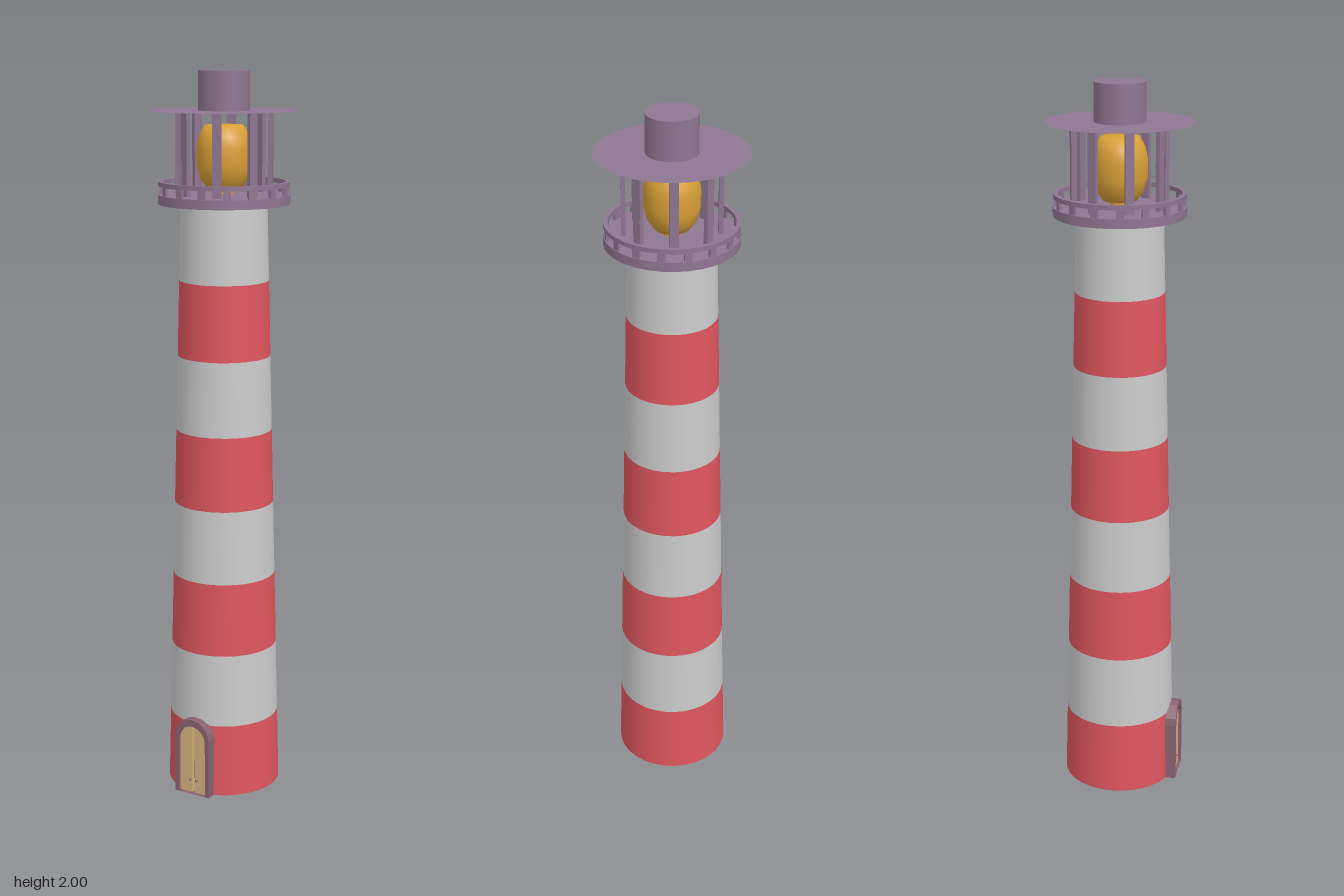
import * as THREE from 'three';

const mat = (color, extra = {}) => new THREE.MeshStandardMaterial({ color, ...extra });
const RED = mat(0xe0565f, { side: THREE.DoubleSide });
const GREY = mat(0xcccccc, { side: THREE.DoubleSide });
const PURPLE = mat(0x8f7691, { side: THREE.DoubleSide });
const GOLD = mat(0xd9a036, { side: THREE.DoubleSide });
const FRAME = mat(0x8a6272);
const WOOD = mat(0xd6b27f);

function add(parent, name, geometry, material, x = 0, y = 0, z = 0) {
  const mesh = new THREE.Mesh(geometry, material);
  mesh.name = name;
  mesh.position.set(x, y, z);
  parent.add(mesh);
  return mesh;
}

// Upright boxes evenly spaced on a circle, each facing outwards
function ringOfPosts(parent, name, count, radius, y0, y1, width, depth) {
  const group = new THREE.Group();
  group.name = name + 's';
  const geometry = new THREE.BoxGeometry(width, y1 - y0, depth);
  for (let i = 0; i < count; i++) {
    const a = ((i + 0.5) / count) * Math.PI * 2;
    const post = add(group, name, geometry, PURPLE, Math.sin(a) * radius, (y0 + y1) / 2, Math.cos(a) * radius);
    post.rotation.y = a;
  }
  parent.add(group);
}

// Arched outline standing on y = 0
function archPoints(halfWidth, height) {
  const spring = height - halfWidth;
  const points = [new THREE.Vector2(-halfWidth, 0), new THREE.Vector2(halfWidth, 0)];
  for (let i = 0; i <= 8; i++) {
    const a = (i / 8) * Math.PI;
    points.push(new THREE.Vector2(Math.cos(a) * halfWidth, spring + Math.sin(a) * halfWidth));
  }
  return points;
}

function createDoor() {
  const door = new THREE.Group();
  door.name = 'door';

  // Arched surround
  const surround = new THREE.Shape(archPoints(0.055, 0.225));
  surround.holes.push(new THREE.Path(archPoints(0.043, 0.205)));
  add(door, 'doorFrame', new THREE.ExtrudeGeometry(surround, { depth: 0.035, bevelEnabled: false }), FRAME, 0, 0, 0.14);

  // Two leaves with a dark gap and knobs
  add(door, 'doorBacking', new THREE.ExtrudeGeometry(new THREE.Shape(archPoints(0.043, 0.205)),
    { depth: 0.018, bevelEnabled: false }), FRAME, 0, 0, 0.14);
  for (const side of [-1, 1]) {
    const leaf = new THREE.Shape();
    leaf.moveTo(side * 0.003, 0.003);
    leaf.lineTo(side * 0.043, 0.003);
    for (let i = 0; i <= 4; i++) {
      const a = (i / 4) * Math.PI * 0.478;
      leaf.lineTo(side * 0.043 * Math.cos(a), 0.162 + 0.043 * Math.sin(a));
    }
    add(door, 'doorLeaf', new THREE.ExtrudeGeometry(leaf, { depth: 0.01, bevelEnabled: false }), WOOD, 0, 0, 0.157);
    add(door, 'doorKnob', new THREE.SphereGeometry(0.004, 8, 6), FRAME, side * 0.01, 0.04, 0.168);
  }
  return door;
}

export function createModel() {
  const model = new THREE.Group();
  model.name = 'lighthouse';

  // Tapered tower of alternating bands, open at the bottom
  const bands = 8, height = 1.65, rBottom = 0.158, rTop = 0.117;
  const step = height / bands;
  for (let i = 0; i < bands; i++) {
    const r = (k) => THREE.MathUtils.lerp(rBottom, rTop, k / bands);
    add(model, 'towerBand', new THREE.CylinderGeometry(r(i + 1), r(i), step, 32, 1, true),
      i % 2 ? GREY : RED, 0, (i + 0.5) * step, 0);
  }
  model.add(createDoor());

  // Gallery floor and its low railing
  add(model, 'galleryFloor', new THREE.CylinderGeometry(0.178, 0.178, 0.025, 32), PURPLE, 0, 1.6625, 0);
  ringOfPosts(model, 'railingPost', 16, 0.171, 1.675, 1.7, 0.02, 0.008);
  const rail = [[0.165, 1.698], [0.177, 1.698], [0.177, 1.71], [0.165, 1.71], [0.165, 1.698]];
  const railGeometry = new THREE.LatheGeometry(rail.map(([x, y]) => new THREE.Vector2(x, y)), 32).toNonIndexed();
  railGeometry.computeVertexNormals();
  add(model, 'railing', railGeometry, PURPLE);

  // Lamp
  const lamp = [[0, 1.685], [0.045, 1.69], [0.064, 1.715], [0.074, 1.75], [0.074, 1.8], [0.067, 1.83], [0.052, 1.858], [0, 1.86]];
  add(model, 'lamp', new THREE.LatheGeometry(lamp.map(([x, y]) => new THREE.Vector2(x, y)), 24), GOLD);
  add(model, 'lampFoot', new THREE.CylinderGeometry(0.025, 0.025, 0.02, 16), GOLD, 0, 1.682, 0);

  // Lantern posts, flat roof and cap
  ringOfPosts(model, 'lanternPost', 8, 0.125, 1.675, 1.896, 0.024, 0.012);
  const roof = add(model, 'roof', new THREE.CircleGeometry(0.2, 32), PURPLE, 0, 1.896, 0);
  roof.rotation.x = -Math.PI / 2;
  add(model, 'roofCap', new THREE.CylinderGeometry(0.069, 0.069, 0.104, 20), PURPLE, 0, 1.948, 0);

  return model;
}
